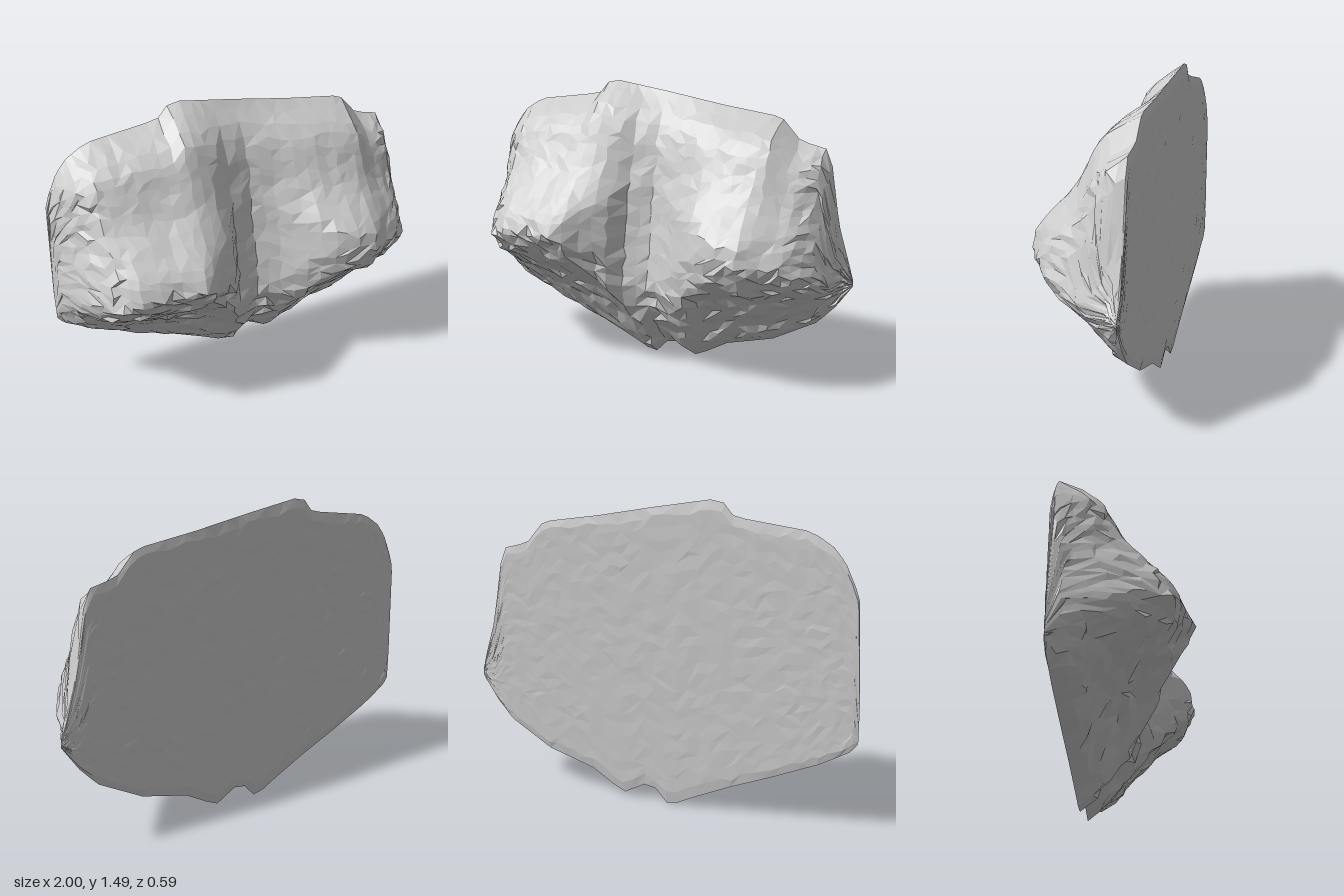
import * as THREE from 'three';

const BACK = -0.3, RIM = -0.293, NX = 44, NY = 28;

// outline: lowest and highest y across the width, as [x, y]
const BOTTOM = [[-1, 0.44], [-0.97, 0.4], [-0.83, 0.32], [-0.6, 0.22], [-0.4, 0.14], [-0.2, 0.05], [-0.12, 0.01],
  [-0.06, 0], [0, 0.07], [0.08, 0.08], [0.14, 0.02], [0.18, 0.02], [0.35, 0.12], [0.6, 0.19], [0.83, 0.32],
  [0.92, 0.42], [1, 0.54]];
const TOP = [[-1, 0.6], [-0.98, 1.08], [-0.94, 1.2], [-0.87, 1.3], [-0.76, 1.37], [-0.4, 1.42], [-0.35, 1.48],
  [-0.3, 1.495], [0, 1.45], [0.3, 1.4], [0.6, 1.36], [0.7, 1.25], [0.83, 1.22], [0.87, 1.12], [0.91, 0.86], [1, 0.57]];
// depth across the width: two lobes with a valley between them, as [x, z]
const LOBES = [[-1, BACK], [-0.97, -0.2], [-0.92, -0.03], [-0.87, 0.1], [-0.8, 0.2], [-0.7, 0.24], [-0.5, 0.25],
  [-0.4, 0.3], [-0.25, 0.16], [-0.17, 0.11], [-0.14, 0.03], [0, -0.01], [0.1, 0.02], [0.2, 0.09], [0.33, 0.19],
  [0.45, 0.23], [0.56, 0.23], [0.65, 0.18], [0.77, 0.13], [0.83, 0.06], [0.92, -0.1], [0.95, -0.23], [1, -0.28]];
// height of the brow across the width, dipping in the valley, as [x, y]
const BROW = [[-0.95, 0.64], [-0.8, 0.73], [-0.4, 0.78], [-0.2, 0.72], [-0.13, 0.5], [0, 0.45], [0.12, 0.5],
  [0.3, 0.7], [0.45, 0.73], [0.75, 0.7], [0.95, 0.58]];
// depth from the bottom outline up to the brow, and from the brow to the top outline
const UNDERSIDE = [[0, BACK], [0.04, -0.25], [0.12, -0.19], [0.25, -0.14], [0.5, 0], [0.63, 0.08], [0.72, 0.17],
  [0.88, 0.23], [1, 0.3]];
const UPPER = [[0, 0.3], [0.17, 0.22], [0.31, 0.13], [0.45, 0.04], [0.6, -0.02], [0.73, -0.06], [0.82, -0.1],
  [0.9, -0.17], [1, BACK]];
// how far the two depths are multiplied (1, tapering) rather than intersected (0), as [x, weight]
const TAPER = [[-0.85, 1], [-0.6, 0.35], [-0.25, 0.35], [0, 0.6], [0.25, 0.35], [0.55, 0.35], [0.8, 1]];

function lookup(table, t) {
  if (t <= table[0][0]) return table[0][1];
  for (let i = 1; i < table.length; i++) {
    const [a, va] = table[i - 1], [b, vb] = table[i];
    if (t <= b) return va + (vb - va) * (t - a) / (b - a);
  }
  return table[table.length - 1][1];
}

// repeatable roughness from -1 to 1 for each grid point
function rough(i, j, k) {
  const s = Math.sin(i * 127.1 + j * 311.7 + k * 74.7) * 43758.5453;
  return 2 * (s - Math.floor(s)) - 1;
}

// grid point of the rock in x and y, with ragged spacing
function gridPoint(i, j) {
  const u = 2 * i / NX - 1;
  const endColumn = i === 0 || i === NX;
  const x = Math.sin(u * 1.2) / Math.sin(1.2) + (endColumn ? 0 : 0.009 * rough(i, j, 1));
  const low = lookup(BOTTOM, x), high = lookup(TOP, x);
  const inner = j > 0 && j < NY;
  const v = (j + (inner ? 0.3 * rough(i, j, 2) : 0)) / NY;
  return { x, y: low + (high - low) * v, low, high, border: endColumn || !inner };
}

function frontDepth(p, i, j) {
  if (p.border) return RIM;
  const brow = lookup(BROW, p.x);
  const slope = (p.y < brow
    ? lookup(UNDERSIDE, (p.y - p.low) / (brow - p.low))
    : lookup(UPPER, (p.y - brow) / (p.high - brow))) - BACK;
  const lobe = lookup(LOBES, p.x) - BACK;
  const taper = lookup(TAPER, p.x);
  const height = (1 - taper) * Math.min(lobe, slope) + taper * lobe * slope / 0.6;
  // the underside and the flanks are rougher than the worn upper face
  const wear = p.y > brow && Math.abs(p.x) < 0.75 ? 0.004 : 0.015;
  return Math.max(RIM + 0.005, BACK + height + wear * rough(i, j, 3));
}

function backDepth(p, i, j) {
  return p.border ? RIM : BACK + 0.0015 * rough(i, j, 4);
}

// one face of the rock as a grid of triangles
function sheet(name, depth, facesBack) {
  const positions = [], index = [];
  for (let j = 0; j <= NY; j++) {
    for (let i = 0; i <= NX; i++) {
      const p = gridPoint(i, j);
      positions.push(p.x, p.y, depth(p, i, j));
    }
  }
  for (let j = 0; j < NY; j++) {
    for (let i = 0; i < NX; i++) {
      const a = j * (NX + 1) + i, b = a + 1, c = a + NX + 1, d = c + 1;
      const tris = rough(i, j, 5) > 0 ? [[a, b, d], [a, d, c]] : [[a, b, c], [b, d, c]];
      for (const [p, q, r] of tris) index.push(...(facesBack ? [p, r, q] : [p, q, r]));
    }
  }
  const geometry = new THREE.BufferGeometry();
  geometry.setAttribute('position', new THREE.Float32BufferAttribute(positions, 3));
  geometry.setIndex(index);
  geometry.computeVertexNormals();
  const material = new THREE.MeshStandardMaterial({ color: 0xcccccc, flatShading: true, side: THREE.DoubleSide });
  const mesh = new THREE.Mesh(geometry, material);
  mesh.name = name;
  return mesh;
}

export function createModel() {
  const group = new THREE.Group();
  group.name = 'rock';
  group.add(sheet('lobedFrontFace', frontDepth, false));
  group.add(sheet('flatBackFace', backDepth, true));
  return group;
}
